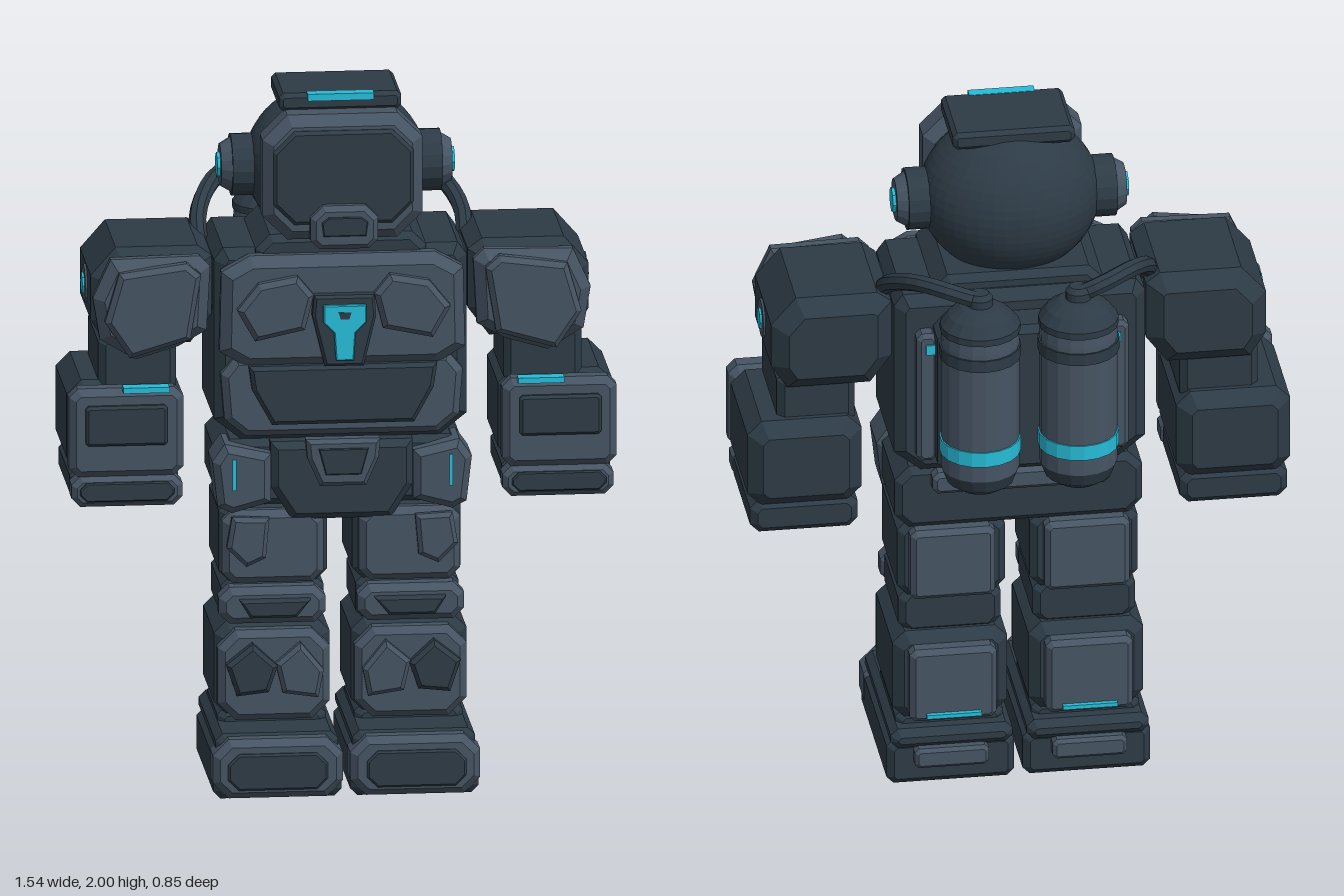
import * as THREE from 'three';

export function createModel() {
  const model = new THREE.Group();
  model.name = 'armouredSuit';
  const paint = (name, color) => Object.assign(new THREE.MeshStandardMaterial({ color }), { name });
  const dark = paint('dark slate', 0x2d3b46);
  const light = paint('armour grey', 0x465463);
  const cyan = paint('glowing cyan', 0x26bcd8);

  // Adds a mesh with faceted normals
  function add(name, geo, mat) {
    const g = geo.index ? geo.toNonIndexed() : geo;
    g.computeVertexNormals();
    const m = new THREE.Mesh(g, mat);
    m.name = name;
    model.add(m);
    return m;
  }
  // Polygon plate between z0 and z1 with bevelled rims, b is the bevel
  function plate(name, mat, pts, z0, z1, b = 0.015) {
    const shape = new THREE.Shape(pts.map(p => new THREE.Vector2(p[0], p[1])));
    const geo = new THREE.ExtrudeGeometry(shape, {
      depth: z1 - z0 - 2 * b, bevelEnabled: b > 0, bevelThickness: b,
      bevelSize: b, bevelOffset: -b, bevelSegments: 1,
    });
    geo.translate(0, 0, z0 + b);
    return add(name, geo, mat);
  }
  const octagon = (x0, x1, y0, y1, c) => [
    [x0 + c, y0], [x1 - c, y0], [x1, y0 + c], [x1, y1 - c],
    [x1 - c, y1], [x0 + c, y1], [x0, y1 - c], [x0, y0 + c]];
  // Block with cut corners and bevelled front and back
  const block = (name, mat, x0, x1, y0, y1, z0, z1, c = 0.03, b = 0.02) =>
    plate(name, mat, octagon(x0, x1, y0, y1, c), z0, z1, b);
  const box = (name, mat, x0, x1, y0, y1, z0, z1) => add(name,
    new THREE.BoxGeometry(x1 - x0, y1 - y0, z1 - z0)
      .translate((x0 + x1) / 2, (y0 + y1) / 2, (z0 + z1) / 2), mat);
  // Sideways disc from x0 to x1 on the side s
  const disc = (name, mat, s, x0, x1, y, z, r0, r1, n) => add(name,
    new THREE.CylinderGeometry(r1, r0, x1 - x0, n).rotateZ(-s * Math.PI / 2)
      .translate(s * (x0 + x1) / 2, y, z), mat);
  const mirror = pts => pts.concat(pts.map(([x, y]) => [-x, y]).reverse());

  // Helmet
  add('helmet', new THREE.SphereGeometry(1, 40, 28).scale(0.255, 0.228, 0.228).translate(0, 1.758, 0.065), dark);
  block('visorFrame', light, -0.225, 0.225, 1.59, 1.95, 0.17, 0.3, 0.07, 0.03);
  block('visor', dark, -0.198, 0.198, 1.64, 1.91, 0.28, 0.312, 0.06, 0.01);
  block('crownPlate', dark, -0.172, 0.172, 1.945, 1.997, -0.03, 0.22, 0.012, 0.012);
  box('crownLight', cyan, -0.093, 0.093, 1.978, 1.998, 0.2, 0.232);
  plate('respirator', light, mirror([[0.06, 1.7], [0.095, 1.665], [0.095, 1.6], [0.07, 1.575]]), 0.25, 0.345, 0.015);
  plate('respiratorInset', dark, mirror([[0.045, 1.67], [0.065, 1.655], [0.06, 1.615]]), 0.34, 0.35, 0.003);
  block('collar', dark, -0.24, 0.24, 1.5, 1.595, -0.12, 0.25, 0.04);

  // Torso
  plate('torso', dark, mirror([[0.33, 1.555], [0.355, 1.52], [0.355, 1.06], [0.28, 1.0]]), -0.155, 0.24, 0.03);
  plate('chestArmour', light,
    mirror([[0.26, 1.545], [0.34, 1.5], [0.345, 1.27], [0.27, 1.225]]), 0.21, 0.3, 0.03);
  plate('abdomenArmour', light,
    mirror([[0.3, 1.25], [0.34, 1.2], [0.33, 1.07], [0.27, 1.02]]), 0.2, 0.275, 0.02);
  plate('abdomenPanel', dark, mirror([[0.265, 1.23], [0.255, 1.16], [0.2, 1.06]]), 0.26, 0.305, 0.012);
  plate('emblemFrame', dark, mirror([[0.085, 1.44], [0.09, 1.38], [0.055, 1.235]]), 0.29, 0.335, 0.008);
  plate('emblem', cyan, mirror([[0.06, 1.415], [0.06, 1.365], [0.03, 1.335], [0.025, 1.255]]), 0.33, 0.348, 0.003);
  plate('emblemSlot', dark, mirror([[0.018, 1.395], [0.012, 1.375]]), 0.346, 0.351, 0);

  // Pelvis
  block('pelvis', dark, -0.35, 0.35, 0.81, 1.0, -0.125, 0.23, 0.04);
  plate('pelvisFront', dark, mirror([[0.2, 1.0], [0.2, 0.87], [0.14, 0.775]]), 0.05, 0.27, 0.02);
  plate('buckle', light, mirror([[0.105, 1.015], [0.1, 0.96], [0.065, 0.88]]), 0.25, 0.305, 0.012);
  plate('buckleInset', dark, mirror([[0.07, 0.99], [0.05, 0.915]]), 0.302, 0.312, 0.003);
  block('rearBelt', light, -0.25, 0.25, 0.935, 1.0, -0.168, -0.11, 0.015, 0.012);

  // Backpack
  block('backpack', dark, -0.25, 0.25, 1.05, 1.5, -0.27, -0.14, 0.03);

  for (const s of [1, -1]) {
    const side = s > 0 ? 'left' : 'right';
    const X = pts => pts.map(([x, y]) => [s * x, y]);
    const p = (name, mat, pts, z0, z1, b) => plate(side + name, mat, X(pts), z0, z1, b);
    const bl = (name, mat, x0, x1, ...rest) =>
      block(side + name, mat, Math.min(s * x0, s * x1), Math.max(s * x0, s * x1), ...rest);
    const bx = (name, mat, x0, x1, ...rest) =>
      box(side + name, mat, Math.min(s * x0, s * x1), Math.max(s * x0, s * x1), ...rest);

    // Ear pods
    disc(side + 'EarPod', dark, s, 0.22, 0.295, 1.757, 0.065, 0.088, 0.088, 16);
    disc(side + 'EarRing', light, s, 0.295, 0.325, 1.757, 0.065, 0.078, 0.06, 16);
    disc(side + 'EarLight', cyan, s, 0.32, 0.334, 1.757, 0.065, 0.038, 0.036, 8);

    // Chest plate and pack rail
    p('ChestPlate', light, [[0.29, 1.38], [0.3, 1.4], [0.24, 1.475], [0.13, 1.495],
      [0.085, 1.44], [0.11, 1.34], [0.25, 1.31]], 0.28, 0.335, 0.015);
    bl('PackRail', light, 0.24, 0.3, 1.06, 1.46, -0.2, -0.14, 0.015, 0.012);
    bx('PackLight', cyan, 0.25, 0.275, 1.4, 1.43, -0.206, -0.19);

    // Shoulder and upper arm
    p('Shoulder', dark, [[0.36, 1.53], [0.4, 1.56], [0.63, 1.56], [0.7, 1.48],
      [0.7, 1.35], [0.655, 1.28], [0.42, 1.28], [0.36, 1.36]], -0.155, 0.24, 0.045);
    bl('ShoulderJoint', dark, 0.3, 0.42, 1.36, 1.52, -0.08, 0.17);
    p('ShoulderArmour', light, [[0.37, 1.515], [0.4, 1.545], [0.65, 1.54], [0.7, 1.43],
      [0.68, 1.31], [0.58, 1.25], [0.46, 1.285], [0.38, 1.33]], 0.2, 0.285, 0.03);
    p('ShoulderPlate', light, [[0.4, 1.5], [0.44, 1.535], [0.63, 1.51], [0.67, 1.37],
      [0.6, 1.265], [0.43, 1.315]], 0.26, 0.315, 0.015);
    disc(side + 'ShoulderRing', light, s, 0.69, 0.706, 1.42, 0.05, 0.06, 0.055, 12);
    disc(side + 'ShoulderLight', cyan, s, 0.7, 0.712, 1.42, 0.05, 0.033, 0.031, 8);
    bl('Elbow', dark, 0.46, 0.68, 1.13, 1.32, -0.1, 0.22);

    // Forearm and hand
    bl('Forearm', dark, 0.445, 0.768, 0.915, 1.18, -0.155, 0.24, 0.04, 0.04);
    bl('ForearmArmour', light, 0.448, 0.77, 0.92, 1.175, 0.22, 0.3, 0.025, 0.02);
    bl('ForearmPanel', dark, 0.495, 0.725, 1.015, 1.13, 0.29, 0.318, 0.008, 0.008);
    bx('ForearmLight', cyan, 0.49, 0.62, 1.168, 1.184, 0.28, 0.32);
    bl('Hand', dark, 0.455, 0.76, 0.83, 0.93, -0.13, 0.22, 0.025);
    bl('HandArmour', light, 0.45, 0.762, 0.832, 0.92, 0.2, 0.29, 0.025, 0.015);
    bl('HandPanel', dark, 0.475, 0.74, 0.85, 0.905, 0.285, 0.3, 0.02, 0.004);

    // Hip plate
    p('HipArmour', light, [[0.2, 0.97], [0.33, 1.0], [0.365, 0.95], [0.35, 0.82],
      [0.31, 0.8], [0.2, 0.83]], 0.12, 0.285, 0.02);
    bx('HipLight', cyan, 0.3, 0.31, 0.87, 0.96, 0.28, 0.29);

    // Thigh and knee
    bl('Thigh', dark, 0.035, 0.34, 0.585, 0.82, -0.105, 0.215, 0.03);
    bl('ThighArmour', light, 0.05, 0.335, 0.59, 0.8, 0.19, 0.255, 0.03);
    p('ThighPlate', light, [[0.31, 0.79], [0.325, 0.7], [0.27, 0.645], [0.215, 0.67],
      [0.205, 0.785]], 0.245, 0.285, 0.012);
    bl('ThighBackPlate', light, 0.07, 0.31, 0.595, 0.81, -0.15, -0.09, 0.015, 0.015);
    bl('Knee', dark, 0.045, 0.335, 0.46, 0.6, -0.09, 0.21, 0.03);
    bl('KneeArmour', light, 0.045, 0.345, 0.475, 0.58, 0.18, 0.265, 0.03);
    p('KneePanel', dark, [[0.09, 0.55], [0.29, 0.55], [0.26, 0.5], [0.13, 0.5]], 0.255, 0.295, 0.008);

    // Shin
    bl('Shin', dark, 0.03, 0.355, 0.205, 0.475, -0.125, 0.24, 0.035, 0.03);
    bl('ShinArmour', light, 0.035, 0.35, 0.2, 0.46, 0.21, 0.28, 0.05);
    p('ShinPlate', light, [[0.19, 0.37], [0.12, 0.43], [0.055, 0.35], [0.07, 0.27],
      [0.17, 0.285]], 0.27, 0.312, 0.012);
    p('ShinPanel', dark, [[0.33, 0.37], [0.255, 0.43], [0.185, 0.365], [0.21, 0.29],
      [0.3, 0.28]], 0.27, 0.318, 0.012);
    bl('CalfPlate', light, 0.07, 0.315, 0.22, 0.445, -0.172, -0.1, 0.015, 0.015);
    bx('CalfLight', cyan, 0.115, 0.27, 0.238, 0.25, -0.186, -0.165);

    // Boot
    bl('Ankle', dark, 0.04, 0.345, 0.15, 0.22, -0.1, 0.22, 0.02);
    bl('Boot', dark, 0.012, 0.373, 0.003, 0.14, -0.125, 0.39, 0.02);
    bl('BootCuff', dark, 0.02, 0.365, 0.125, 0.185, -0.15, 0.37, 0.02);
    bl('ToeCap', light, 0.01, 0.376, 0.008, 0.178, 0.29, 0.41, 0.045, 0.02);
    bl('ToePanel', dark, 0.055, 0.335, 0.035, 0.14, 0.4, 0.42, 0.03, 0.006);
    bl('HeelPlate', light, 0.09, 0.3, 0.07, 0.13, -0.165, -0.11, 0.012, 0.01);

    // Air tank, turned in colour bands from bottom to top
    const tank = (name, mat, profile) => add(side + name, new THREE.LatheGeometry(
      profile.map(q => new THREE.Vector2(q[0], q[1])), 18).translate(s * 0.139, 0, -0.312), mat);
    tank('TankBase', dark, [[0, 1.03], [0.06, 1.036], [0.095, 1.06], [0.11, 1.1]]);
    tank('TankBody', light, [[0.11, 1.1], [0.11, 1.5], [0.107, 1.54], [0.09, 1.575], [0.055, 1.6], [0, 1.61]]);
    tank('TankLight', cyan, [[0.11, 1.15], [0.114, 1.15], [0.114, 1.195], [0.11, 1.195]]);
    tank('TankStrap', dark, [[0.1, 1.45], [0.115, 1.45], [0.115, 1.485], [0.1, 1.485]]);
    tank('TankCap', dark, [[0.1, 1.53], [0.113, 1.53], [0.113, 1.55], [0.09, 1.58], [0.055, 1.604], [0, 1.614]]);
    tank('TankValve', dark, [[0.036, 1.59], [0.036, 1.63], [0.025, 1.645], [0, 1.645]]);

    // Breathing hose over the shoulder
    const path = new THREE.CatmullRomCurve3([[0.15, 1.62, -0.31], [0.21, 1.645, -0.31],
      [0.29, 1.65, -0.25], [0.35, 1.61, -0.15], [0.375, 1.55, -0.06], [0.36, 1.46, 0]]
      .map(([x, y, z]) => new THREE.Vector3(s * x, y, z)));
    add(side + 'Hose', new THREE.TubeGeometry(path, 12, 0.025, 8), dark);
  }
  return model;
}
